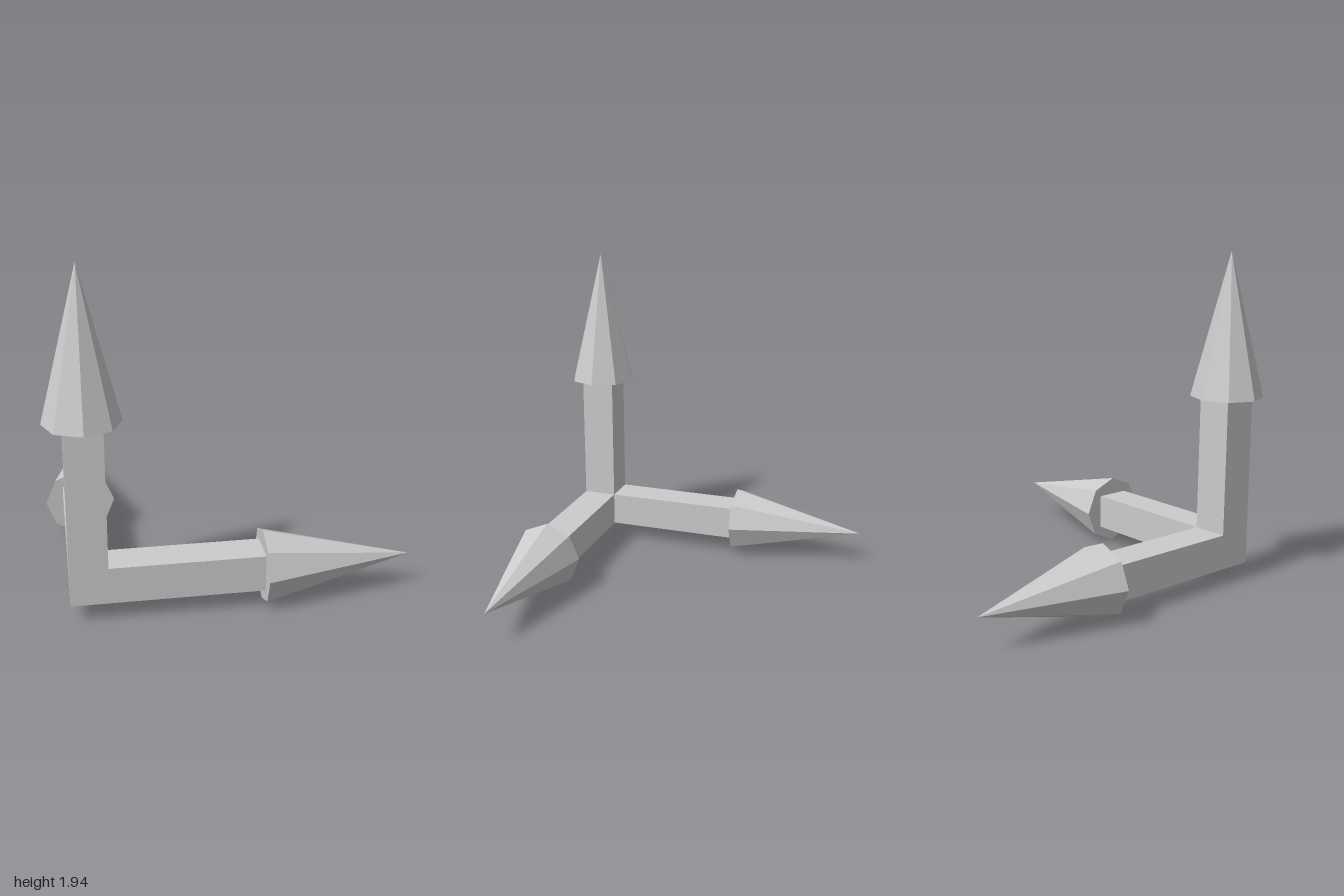
import * as THREE from 'three';

const HALF = 0.104;       // half width of the square shafts
const HEAD_RADIUS = 0.209;
const HEAD_LENGTH = 0.835;

const material = new THREE.MeshStandardMaterial({ color: 0xcccccc, flatShading: true });

function addMesh(parent, name, geometry, y) {
  const mesh = new THREE.Mesh(geometry, material);
  mesh.name = name;
  mesh.position.y = y;
  parent.add(mesh);
}

// One arrow pointing along its own +y; reach is where the head begins
function createArrow(name, reach) {
  const arrow = new THREE.Group();
  arrow.name = name;
  const length = reach - HALF;
  addMesh(arrow, 'shaft', new THREE.BoxGeometry(HALF * 2, length, HALF * 2), HALF + length / 2);
  addMesh(arrow, 'head', new THREE.ConeGeometry(HEAD_RADIUS, HEAD_LENGTH, 8), reach + HEAD_LENGTH / 2);
  return arrow;
}

export function createModel() {
  const model = new THREE.Group();
  model.name = 'axisArrows';

  // Three arrows sharing one corner block
  const axes = new THREE.Group();
  axes.name = 'axes';
  axes.position.set(-0.791, HEAD_RADIUS, 0.791);
  model.add(axes);

  addMesh(axes, 'cornerBlock', new THREE.BoxGeometry(HALF * 2, HALF * 2, HALF * 2), 0);

  const up = createArrow('upArrow', 0.9);
  const left = createArrow('leftArrow', 0.953);
  left.rotation.z = -Math.PI / 2;
  const back = createArrow('backArrow', 0.953);
  back.rotation.x = -Math.PI / 2;
  axes.add(up, left, back);

  return model;
}
